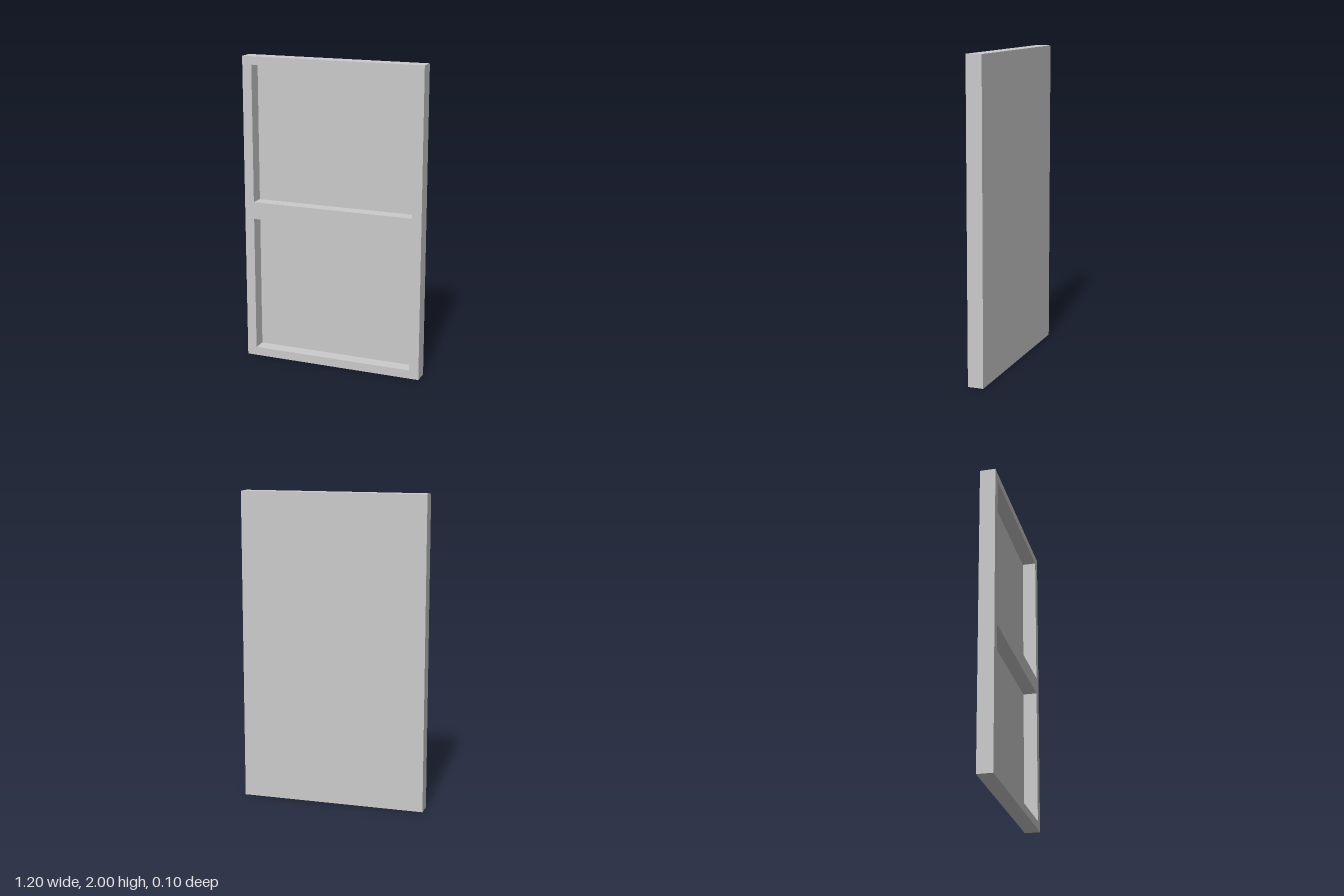
import * as THREE from 'three';

const W = 1.2, H = 2, D = 0.1;   // overall size
const BACK = 0.01;               // thickness of the closed back
const OPEN_X = 0.537;            // half width of each recess
const RECESSES = [[0.056, 0.945], [1.057, 1.947]]; // bottom and top of each recess

function rectangle(target, x, y0, y1) {
  target.moveTo(-x, y0);
  target.lineTo(x, y0);
  target.lineTo(x, y1);
  target.lineTo(-x, y1);
  target.closePath();
  return target;
}

export function createModel() {
  const group = new THREE.Group();
  group.name = 'twoPanelFrame';
  const material = new THREE.MeshStandardMaterial({ color: 0xcccccc });

  // Front frame: outer border and middle rail around two recesses
  const outline = rectangle(new THREE.Shape(), W / 2, 0, H);
  for (const [y0, y1] of RECESSES) {
    outline.holes.push(rectangle(new THREE.Path(), OPEN_X, y0, y1));
  }
  const frame = new THREE.Mesh(
    new THREE.ExtrudeGeometry(outline, { depth: D - BACK, bevelEnabled: false }),
    material
  );
  frame.name = 'frame';
  frame.position.z = -D / 2 + BACK;
  group.add(frame);

  // Thin back panel closing the recesses
  const back = new THREE.Mesh(new THREE.BoxGeometry(W, H, BACK), material);
  back.name = 'backPanel';
  back.position.set(0, H / 2, -D / 2 + BACK / 2);
  group.add(back);

  return group;
}
